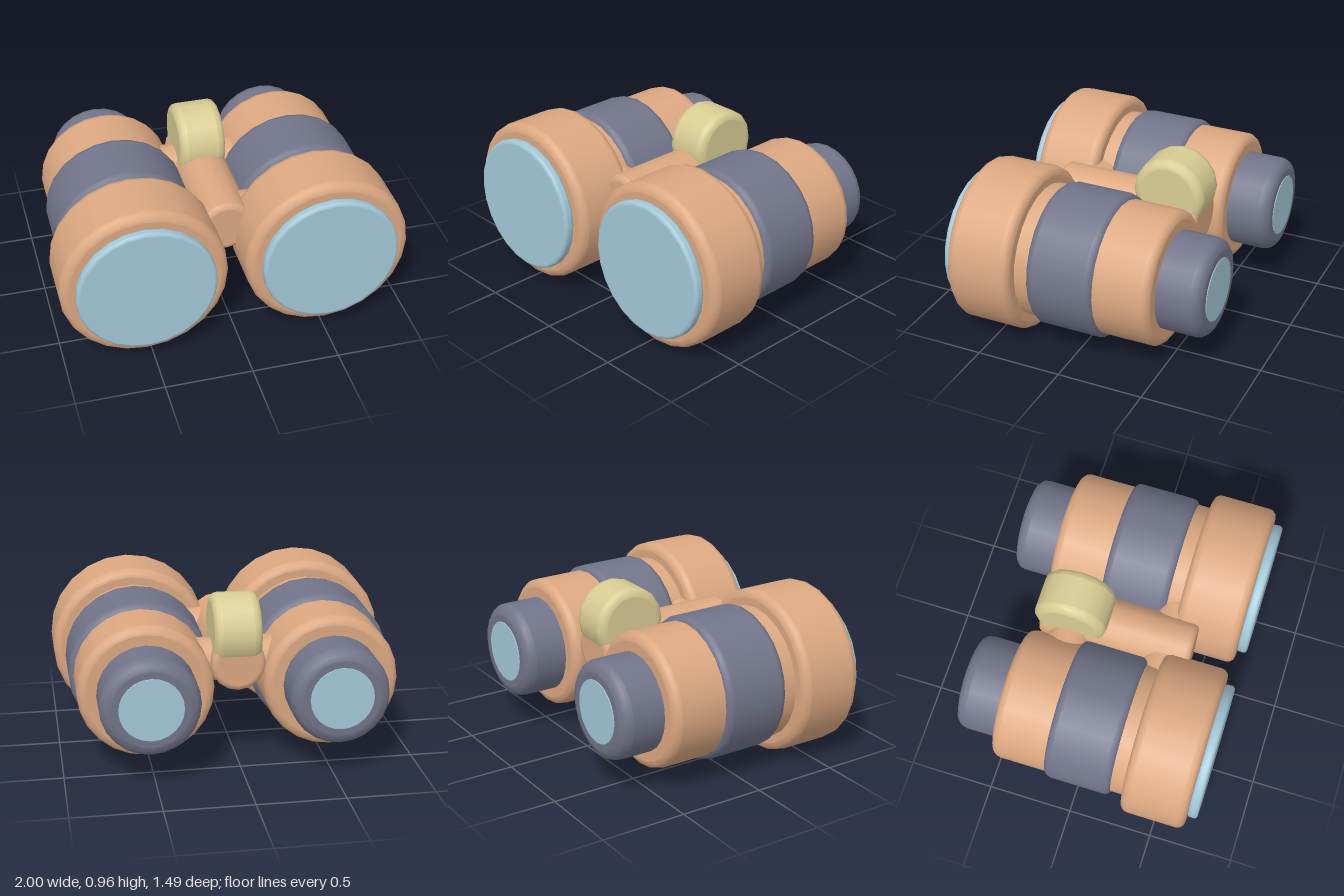
import * as THREE from 'three';

const mat = (name, color) => {
  const m = new THREE.MeshStandardMaterial({ color });
  m.name = name;
  return m;
};

// Solid drum along +y from a to b, with rounded rims (bevelA at a, bevelB at b)
function drum(r, a, b, bevelA, bevelB, sides) {
  const e = 0.002, steps = 3;
  const pts = [[0, a], [r - bevelA - e, a]];
  for (let i = 0; i <= steps; i++) {
    const t = (i / steps) * Math.PI / 2;
    pts.push([r - bevelA + bevelA * Math.sin(t), a + bevelA - bevelA * Math.cos(t)]);
  }
  pts.push([r, a + bevelA + e], [r, b - bevelB - e]);
  for (let i = 0; i <= steps; i++) {
    const t = (i / steps) * Math.PI / 2;
    pts.push([r - bevelB + bevelB * Math.cos(t), b - bevelB + bevelB * Math.sin(t)]);
  }
  pts.push([r - bevelB - e, b], [0, b]);
  return new THREE.LatheGeometry(pts.map(p => new THREE.Vector2(...p)), sides);
}

export function createModel() {
  const model = new THREE.Group();
  model.name = 'binoculars';
  const tan = mat('tan body', 0xdca881);
  const slate = mat('slate rubber', 0x72758a);
  const glass = mat('blue glass', 0xa3c8d8);
  const khaki = mat('khaki knob', 0xd9cd94);

  const add = (parent, name, geometry, material) => {
    const mesh = new THREE.Mesh(geometry, material);
    mesh.name = name;
    parent.add(mesh);
    return mesh;
  };
  const alongZ = (...args) => drum(...args).rotateX(Math.PI / 2);
  const alongX = (...args) => drum(...args).rotateZ(Math.PI / 2);

  // Two matching barrels
  for (const [side, x] of [['left', 0.525], ['right', -0.525]]) {
    const barrel = new THREE.Group();
    barrel.name = side + 'Barrel';
    barrel.position.set(x, 0.48, 0);
    add(barrel, 'tube', alongZ(0.385, -0.49, 0.4, 0.045, 0.02, 24), tan);
    add(barrel, 'objectiveHousing', alongZ(0.475, 0.305, 0.687, 0.045, 0.045, 24), tan);
    add(barrel, 'gripBand', alongZ(0.412, -0.17, 0.23, 0.04, 0.04, 24), slate);
    add(barrel, 'eyepiece', alongZ(0.28, -0.742, -0.45, 0.06, 0.02, 24), slate);
    add(barrel, 'objectiveLens', alongZ(0.395, 0.685, 0.745, 0.018, 0.018, 24), glass);
    add(barrel, 'eyeLens', alongZ(0.18, -0.746, -0.738, 0.002, 0.002, 24), glass);
    model.add(barrel);
  }

  // Central hinge and the two cross arms joining the barrels
  add(model, 'hinge', alongZ(0.155, -0.45, 0.45, 0.03, 0.03, 16), tan).position.y = 0.597;
  for (const [name, z] of [['rearArm', -0.26], ['frontArm', 0.3]]) {
    add(model, name, alongX(0.125, -0.3, 0.3, 0.02, 0.02, 16), tan).position.set(0, 0.58, z);
  }

  // Focus knob, its axis across the hinge
  add(model, 'focusKnob', alongX(0.215, -0.135, 0.135, 0.045, 0.045, 16), khaki)
    .position.set(0, 0.752, -0.265);

  return model;
}
